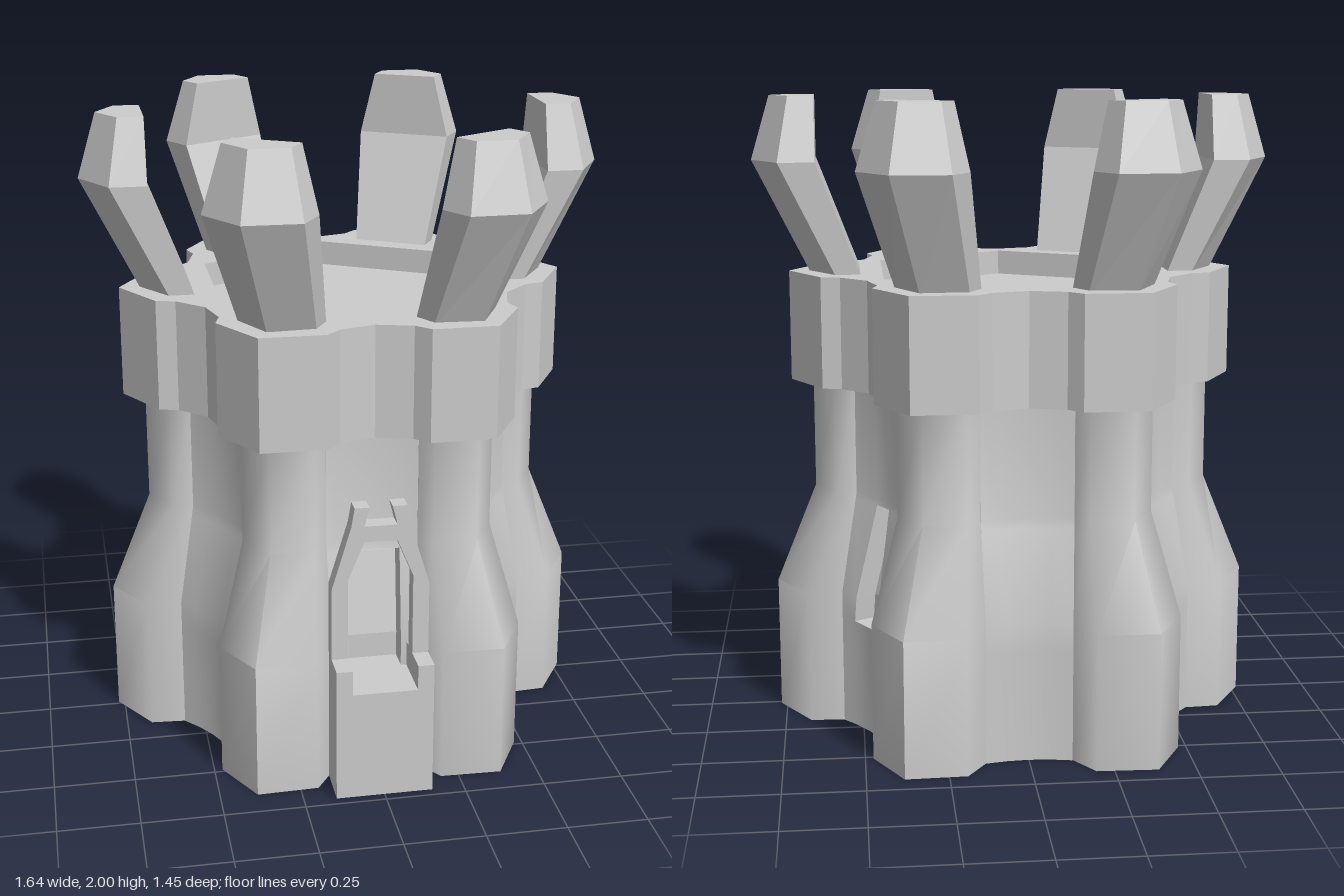
import * as THREE from 'three';
import { toCreasedNormals } from 'three/addons/utils/BufferGeometryUtils.js';

const material = new THREE.MeshStandardMaterial({ color: 0xcccccc, side: THREE.DoubleSide });
const flat = new THREE.MeshStandardMaterial({ color: 0xcccccc, side: THREE.DoubleSide, flatShading: true });
const SIXTH = Math.PI / 3;

// Surface through rows of [x, y, z] points; skip(row, column) leaves openings
function loft(rows, skip = () => false, crease = 0.9) {
  const n = rows[0].length, index = [];
  for (let r = 0; r < rows.length - 1; r++) {
    for (let c = 0; c < n - 1; c++) {
      if (skip(r, c)) continue;
      const a = r * n + c, b = a + 1, d = a + n, e = d + 1;
      index.push(a, d, b, b, d, e);
    }
  }
  const g = new THREE.BufferGeometry();
  g.setAttribute('position', new THREE.Float32BufferAttribute(rows.flat(2), 3));
  g.setIndex(index);
  g.computeVertexNormals();
  return toCreasedNormals(g, crease);
}

function shapeOf(points) {
  return new THREE.Shape(points.map(([x, y]) => new THREE.Vector2(x, y)));
}

function extrude(shape, depth) {
  return new THREE.ExtrudeGeometry(shape, { depth, bevelEnabled: false });
}

function add(parent, name, geometry, mat = material) {
  const m = new THREE.Mesh(geometry, mat);
  m.name = name;
  parent.add(m);
  return m;
}

// 1 at the wide base, 0 at the narrow shaft
const flare = (y) => THREE.MathUtils.clamp((0.75 - y) / 0.32, 0, 1);
const mix = THREE.MathUtils.lerp;

// Point on a slightly concave wall facing +z, v from -1 to 1
function wallPoint(v, y) {
  const f = flare(y);
  const middle = mix(0.49, 0.555, f), edge = mix(0.507, 0.572, f);
  return [v * mix(0.142, 0.133, f), y, mix(middle, edge, v * v)];
}

function addWall(parent, k, opening) {
  const wall = new THREE.Group();
  wall.name = 'wall';
  wall.rotation.y = k * SIXTH;
  parent.add(wall);
  const top = opening ? opening.top : 0.72;
  const ys = [0, 0.35, 0.43, top, 0.75, 1.1];
  const half = (y) => {
    if (!opening) return 0.5;
    const t = THREE.MathUtils.clamp((y - 0.35) / (top - 0.35), 0, 1);
    return mix(opening.low, opening.high, t);
  };
  const rows = ys.map((y) => [-1, -half(y), 0, half(y), 1].map((v) => wallPoint(v, y)));
  const cut = (r, c) => !!opening && (r === 1 || r === 2) && (c === 1 || c === 2);
  add(wall, 'wallSurface', loft(rows, cut));
  if (!opening) return;

  // Recess behind the opening
  const sides = ys.slice(1, 4);
  const left = sides.map((y) => wallPoint(-half(y), y));
  const right = sides.map((y) => wallPoint(half(y), y));
  const back = ([x, y, z]) => [x, y, z - 0.07];
  const loop = [...left, ...right.slice().reverse(), left[0]];
  add(wall, 'recessSides', loft([loop, loop.map(back)]), flat);
  add(wall, 'recessBack', loft([left.map(back), right.map(back)]), flat);
}

// Corner buttress pointing to +x: [y, root, root half width, shoulder, shoulder half width, tip]
function buttress() {
  const base = [0.56, 0.17, 0.67, 0.162, 0.77], shaft = [0.51, 0.13, 0.57, 0.12, 0.64];
  return loft([[0, base], [0.43, base], [0.75, shaft], [1.1, shaft]].map(
    ([y, [rx, rw, sx, sw, tip]]) => [
      [rx, y, -rw], [sx, y, -sw], [tip, y, 0], [sx, y, sw], [rx, y, rw],
    ]), undefined, 1.1);
}

// Leaning five-sided crown spike pointing to +x
function spike() {
  const rows = [
    [1.43, 0.478, 0.555, 0.635, 0.122],
    [1.8, 0.62, 0.735, 0.82, 0.155],
    [2, 0.62, 0.7, 0.76, 0.105],
  ].map(([y, inner, shoulder, tip, w]) => [
    [inner, y, -w], [shoulder, y, -w], [tip, y, 0], [shoulder, y, w], [inner, y, w], [inner, y, -w],
  ]);
  const middle = rows[2].map(() => [0.68, 2, 0]);
  return loft([...rows, middle], undefined, 0.1);
}

export function createModel() {
  const model = new THREE.Group();
  model.name = 'tower';
  const tower = new THREE.Group();
  tower.name = 'towerParts';
  tower.position.z = -0.012;
  model.add(tower);

  // Six walls: the front has the doorway, one rear side has a slit window
  const openings = {
    0: { low: 0.62, high: 0.62, top: 0.72 },
    2: { low: 0.56, high: 0.25, top: 0.73 },
  };
  for (let k = 0; k < 6; k++) addWall(tower, k, openings[k]);

  // Buttresses and crown spikes
  const buttressGeometry = buttress(), spikeGeometry = spike();
  for (let k = 0; k < 6; k++) {
    add(tower, 'buttress', buttressGeometry).rotation.y = k * SIXTH;
    add(tower, 'crownSpike', spikeGeometry, flat).rotation.y = k * SIXTH;
  }

  // Parapet ring following the buttresses, with a hexagonal well
  const corner = [[0.55, -0.19], [0.61, -0.175], [0.71, 0], [0.61, 0.175], [0.55, 0.19], [0.468, 0.27]];
  const outline = [], hexagon = [];
  for (let k = 0; k < 6; k++) {
    const c = Math.cos(k * SIXTH), s = Math.sin(k * SIXTH);
    corner.forEach(([x, y]) => outline.push([x * c - y * s, x * s + y * c]));
    const a = (k + 0.5) * SIXTH;
    hexagon.push([0.48 * Math.cos(a), 0.48 * Math.sin(a)]);
  }
  const ringShape = shapeOf(outline);
  ringShape.holes.push(shapeOf(hexagon));
  const ring = add(tower, 'parapet', extrude(ringShape, 0.35), flat);
  ring.rotation.x = -Math.PI / 2;
  ring.position.y = 1.1;
  const floor = add(tower, 'roofFloor', new THREE.ShapeGeometry(shapeOf(hexagon)), flat);
  floor.rotation.x = -Math.PI / 2;
  floor.position.y = 1.37;

  // Doorstep with a sunken path
  const step = shapeOf([
    [-0.15, 0], [0.15, 0], [0.15, 0.43], [0.1, 0.43], [0.1, 0.35],
    [-0.1, 0.35], [-0.1, 0.43], [-0.15, 0.43],
  ]);
  add(tower, 'doorstep', extrude(step, 0.18), flat).position.z = 0.552;

  // Pointed door frame with two small merlons, mirrored about the middle
  const half = [
    [0.1, 0.35], [0.1, 0.69], [0.05, 0.81], [-0.05, 0.81], [-0.1, 0.69], [-0.1, 0.35],
  ];
  const outer = [[0.15, 0.35], [0.15, 0.66], [0.09, 0.86], [0.08, 0.92], [0.035, 0.92], [0.05, 0.86]];
  const mirrored = outer.map(([x, y]) => [-x, y]);
  const frame = shapeOf([...half, ...mirrored, ...outer.slice().reverse()]);
  add(tower, 'doorFrame', extrude(frame, 0.055), flat).position.z = 0.59;

  return model;
}
